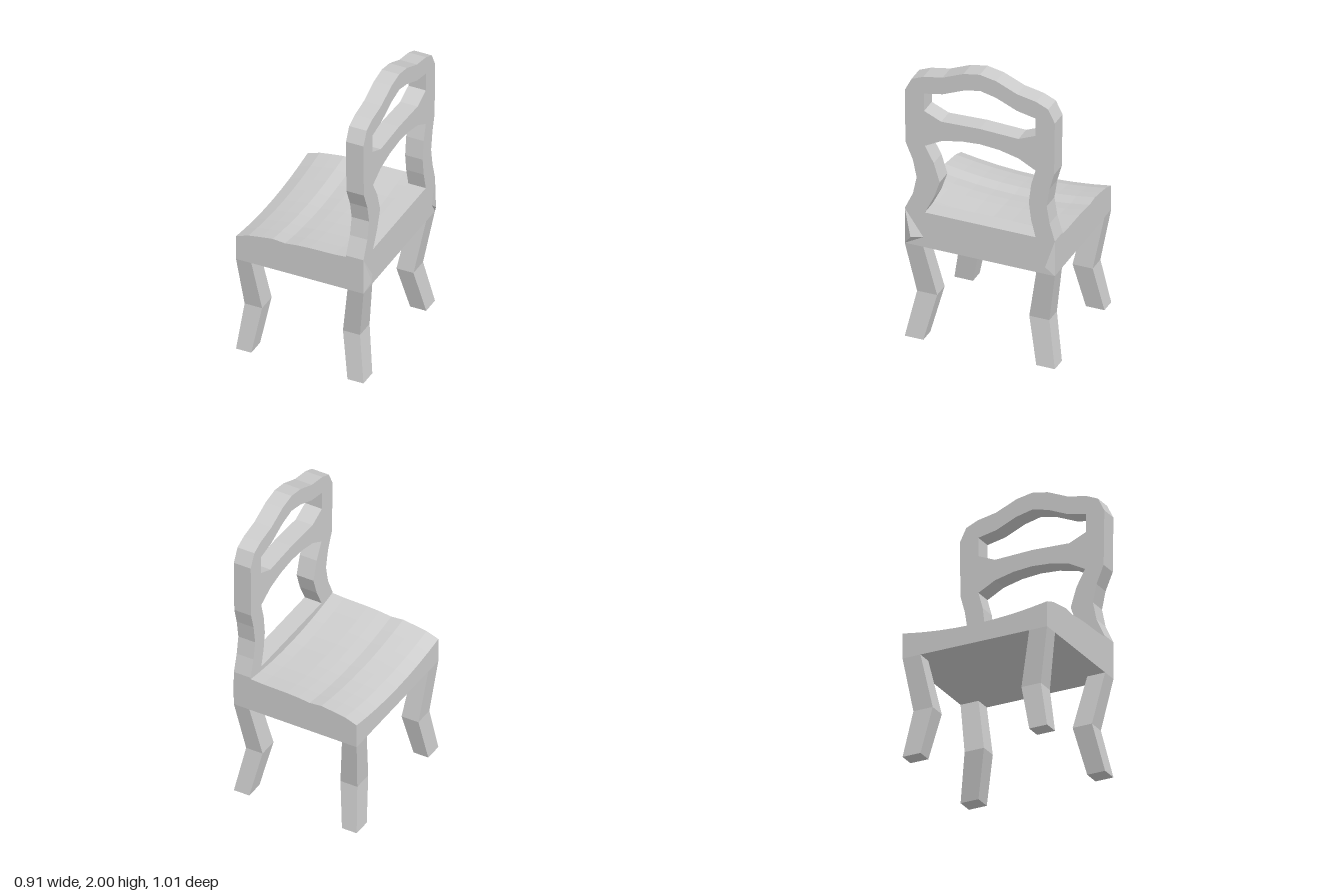
import * as THREE from 'three';
import { ConvexGeometry } from 'three/addons/geometries/ConvexGeometry.js';

const material = new THREE.MeshStandardMaterial({ color: 0xcccccc, flatShading: true });

function addMesh(parent, name, geometry) {
  const mesh = new THREE.Mesh(geometry, material);
  mesh.name = name;
  parent.add(mesh);
}

// Piecewise linear lookup through [x, y] points
function lookup(points, x) {
  for (let i = 1; i < points.length; i++) {
    const [x0, y0] = points[i - 1], [x1, y1] = points[i];
    if (x <= x1) return y0 + (y1 - y0) * Math.max(0, (x - x0) / (x1 - x0));
  }
  return points[points.length - 1][1];
}

const toVectors = (pts) => pts.map(([u, v]) => new THREE.Vector2(u, v));
const mirrored = (pts) => pts.map(([u, v]) => [-u, v]).reverse();

// Backrest and rear rail: one pierced outline, extruded along x
function backGeometry() {
  const crown = [[0.505, 1.77], [0.46, 1.86], [0.38, 1.895], [0.25, 1.92], [0.11, 1.98]];
  const outline = new THREE.Shape(toVectors([
    [-0.505, 0.67], [0.505, 0.67], [0.505, 0.92],
    [0.47, 1.04], [0.45, 1.16], [0.47, 1.29], [0.5, 1.4],
    ...crown, [0, 2], ...mirrored(crown),
    [-0.5, 1.4], [-0.45, 1.28], [-0.425, 1.16], [-0.45, 1.04], [-0.505, 0.92],
  ]));
  const lowerHole = [
    [-0.37, 0.92], [-0.31, 1.04], [-0.27, 1.16], [-0.31, 1.29], [-0.37, 1.4],
    [-0.26, 1.46], [-0.13, 1.49], [0, 1.5], [0.13, 1.49], [0.26, 1.46],
    [0.375, 1.4], [0.345, 1.29], [0.33, 1.16], [0.345, 1.04], [0.375, 0.92],
  ];
  const upperHalf = [[0.26, 1.6], [0.375, 1.65], [0.375, 1.775], [0.25, 1.8], [0.11, 1.86]];
  const upperHole = [[0, 1.61], ...upperHalf, [0, 1.885], ...mirrored(upperHalf)];
  for (const hole of [lowerHole, upperHole]) outline.holes.push(new THREE.Path(toVectors(hole)));
  return new THREE.ExtrudeGeometry(outline, { depth: 0.12, bevelEnabled: false })
    .rotateY(Math.PI / 2).translate(0.3, 0, 0);
}

// Seat block with a wavy, gently dished top
function seatGeometry() {
  const crest = [[-0.455, 0.84], [-0.37, 0.87], [-0.21, 0.895], [-0.13, 0.885], [0, 0.9], [0.28, 0.905], [0.3, 0.91]];
  const geometry = new THREE.BoxGeometry(0.755, 1, 1.01, 9, 1, 8).translate(-0.0775, 0, 0);
  const p = geometry.attributes.position;
  for (let i = 0; i < p.count; i++) {
    const x = p.getX(i), z = p.getZ(i);
    const dish = 0.045 * (1 - (z / 0.505) ** 2);
    p.setY(i, p.getY(i) > 0 ? lookup(crest, x) - dish : 0.67);
  }
  return geometry;
}

// Leg bent inward at the knee; xs and zs hold [outer, inner] for ends and knee
function legGeometry(xEnd, xKnee, side) {
  const geometry = new THREE.BoxGeometry(1, 0.67, 1, 1, 2, 1).translate(0, 0.335, 0);
  const p = geometry.attributes.position;
  const zEnd = [0.38, 0.505], zKnee = [0.31, 0.445];
  for (let i = 0; i < p.count; i++) {
    const knee = Math.abs(p.getY(i) - 0.335) < 0.01;
    const xs = knee ? xKnee : xEnd;
    const zs = knee ? zKnee : zEnd;
    const ix = p.getX(i) > 0 ? 1 : 0;
    const far = p.getZ(i) > 0;
    const iz = (side > 0) === far ? 1 : 0;
    p.setXYZ(i, xs[ix], knee ? 0.31 : p.getY(i), side * zs[iz]);
  }
  return geometry;
}

// Small pointed knuckle where the rear leg meets the rail
function knuckleGeometry(side, inner) {
  return new ConvexGeometry([
    [0.42, 0.92, 0.505], [0.42, 0.67, 0.505], [0.42, 0.74, inner], [0.452, 0.74, 0.453],
  ].map(([x, y, z]) => new THREE.Vector3(x, y, side * z)));
}

export function createModel() {
  const chair = new THREE.Group();
  chair.name = 'chair';
  addMesh(chair, 'backrest', backGeometry());
  addMesh(chair, 'seat', seatGeometry());
  for (const side of [1, -1]) {
    const label = side > 0 ? 'A' : 'B';
    addMesh(chair, 'frontLeg' + label, legGeometry([-0.455, -0.35], [-0.425, -0.305], side));
    addMesh(chair, 'rearLeg' + label, legGeometry([0.31, 0.42], [0.25, 0.367], side));
    addMesh(chair, 'knuckle' + label, knuckleGeometry(side, side > 0 ? 0.38 : 0.46));
  }
  return chair;
}
